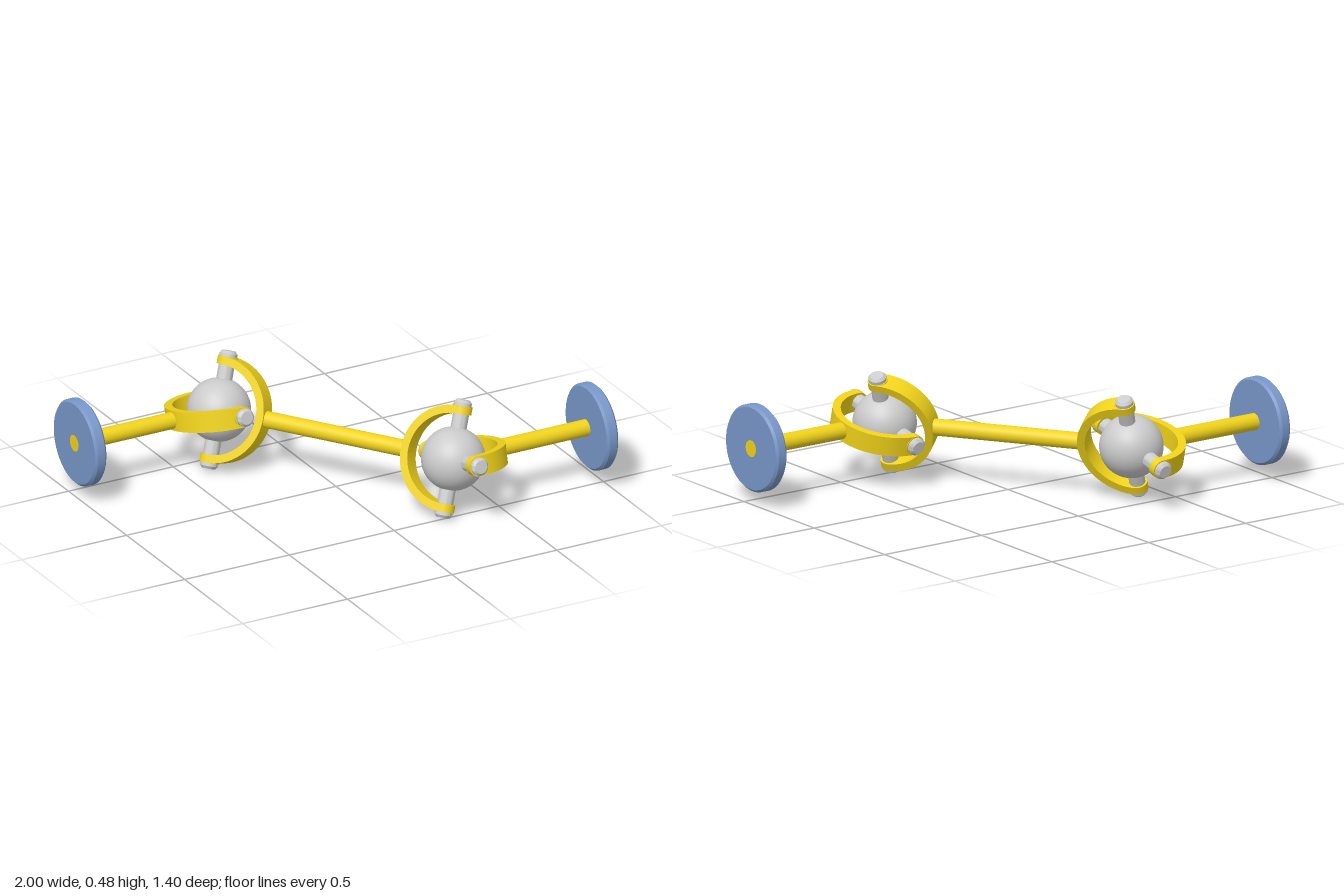
import * as THREE from 'three';
import { toCreasedNormals } from 'three/addons/utils/BufferGeometryUtils.js';

const yellow = new THREE.MeshStandardMaterial({ color: 0xf0d21a });
const blue = new THREE.MeshStandardMaterial({ color: 0x7896c8 });
const grey = new THREE.MeshStandardMaterial({ color: 0xcccccc });

const RING = 0.225, THICK = 0.034, BAND = 0.086, SHAFT = 0.036;

function add(parent, name, geometry, material) {
  const mesh = new THREE.Mesh(geometry, material);
  mesh.name = name;
  parent.add(mesh);
  return mesh;
}

// Turned part about the y axis, with crisp edges
function turned(points) {
  const profile = points.map(([r, y]) => new THREE.Vector2(r, y));
  return toCreasedNormals(new THREE.LatheGeometry(profile, 48), 0.5);
}

// Rod along x from x0 to x1
function rod(parent, name, x0, x1) {
  const g = new THREE.CylinderGeometry(SHAFT, SHAFT, x1 - x0, 32);
  g.rotateZ(-Math.PI / 2).translate((x0 + x1) / 2, 0, 0);
  return add(parent, name, g, yellow);
}

// Frame with x along the shaft and y along the pin
function frame(name, position, shaftDir, pinDir) {
  const g = new THREE.Group();
  g.name = name;
  g.position.copy(position);
  const z = new THREE.Vector3().crossVectors(shaftDir, pinDir);
  g.quaternion.setFromRotationMatrix(new THREE.Matrix4().makeBasis(shaftDir, pinDir, z));
  return g;
}

// Half-ring fork with round eyes, and the two pins it turns on
function yoke(name, position, shaftDir, pinDir) {
  const g = frame(name, position, shaftDir, pinDir);
  const s = new THREE.Shape();
  s.absarc(0, 0, RING, -Math.PI / 2, Math.PI / 2, false);
  s.absarc(0, 0, RING - THICK, Math.PI / 2, -Math.PI / 2, true);
  s.closePath();
  const band = new THREE.ExtrudeGeometry(s, { depth: BAND, bevelEnabled: false, curveSegments: 40 });
  band.translate(0, 0, -BAND / 2);
  add(g, 'forkBand', toCreasedNormals(band, 0.5), yellow);
  for (const side of [1, -1]) {
    const eye = new THREE.CylinderGeometry(BAND / 2, BAND / 2, THICK, 32);
    eye.translate(0, side * (RING - THICK / 2), 0);
    add(g, 'forkEye', eye, yellow);
    const pin = add(g, 'pin', turned([
      [0, 0.1], [0.034, 0.1], [0.034, 0.222], [0.038, 0.225], [0.038, 0.239], [0.028, 0.25], [0, 0.25],
    ]), grey);
    if (side < 0) pin.rotation.x = Math.PI;
  }
  return g;
}

export function createModel() {
  const model = new THREE.Group();
  model.name = 'doubleUniversalJoint';

  const tilt = THREE.MathUtils.degToRad(13.5);
  const outerPin = new THREE.Vector3(0, Math.sin(tilt), Math.cos(tilt));
  const jointB = new THREE.Vector3(0.31, 0.25, 0.45);
  const jointA = new THREE.Vector3(-0.31, 0.25, -0.45);
  const span = jointB.clone().sub(jointA);
  const middleDir = span.clone().normalize();
  const innerPin = new THREE.Vector3().crossVectors(outerPin, middleDir).normalize();

  for (const [label, joint, side] of [['left', jointB, 1], ['right', jointA, -1]]) {
    // Ball at the centre of the cross
    add(model, label + 'Ball', new THREE.SphereGeometry(0.135, 48, 32), grey).position.copy(joint);

    // Outer fork with its shaft and end disc
    const outer = yoke(label + 'OuterYoke', joint, new THREE.Vector3(side, 0, 0), outerPin);
    rod(outer, 'outerShaft', RING - 0.02, 0.691);
    const disc = turned([
      [0, -0.0275], [0.177, -0.0275], [0.187, -0.0175], [0.187, 0.0175], [0.177, 0.0275], [0, 0.0275],
    ]);
    disc.rotateZ(-Math.PI / 2).translate(0.6625, 0, 0);
    add(outer, 'endDisc', disc, blue);
    model.add(outer);

    // Inner fork facing the other joint
    model.add(yoke(label + 'InnerYoke', joint, middleDir.clone().multiplyScalar(-side), innerPin));
  }

  // Shaft between the joints
  const middle = frame('middleShaft', jointA, middleDir, innerPin);
  rod(middle, 'middleRod', RING - 0.02, span.length() - RING + 0.02);
  model.add(middle);

  return model;
}
